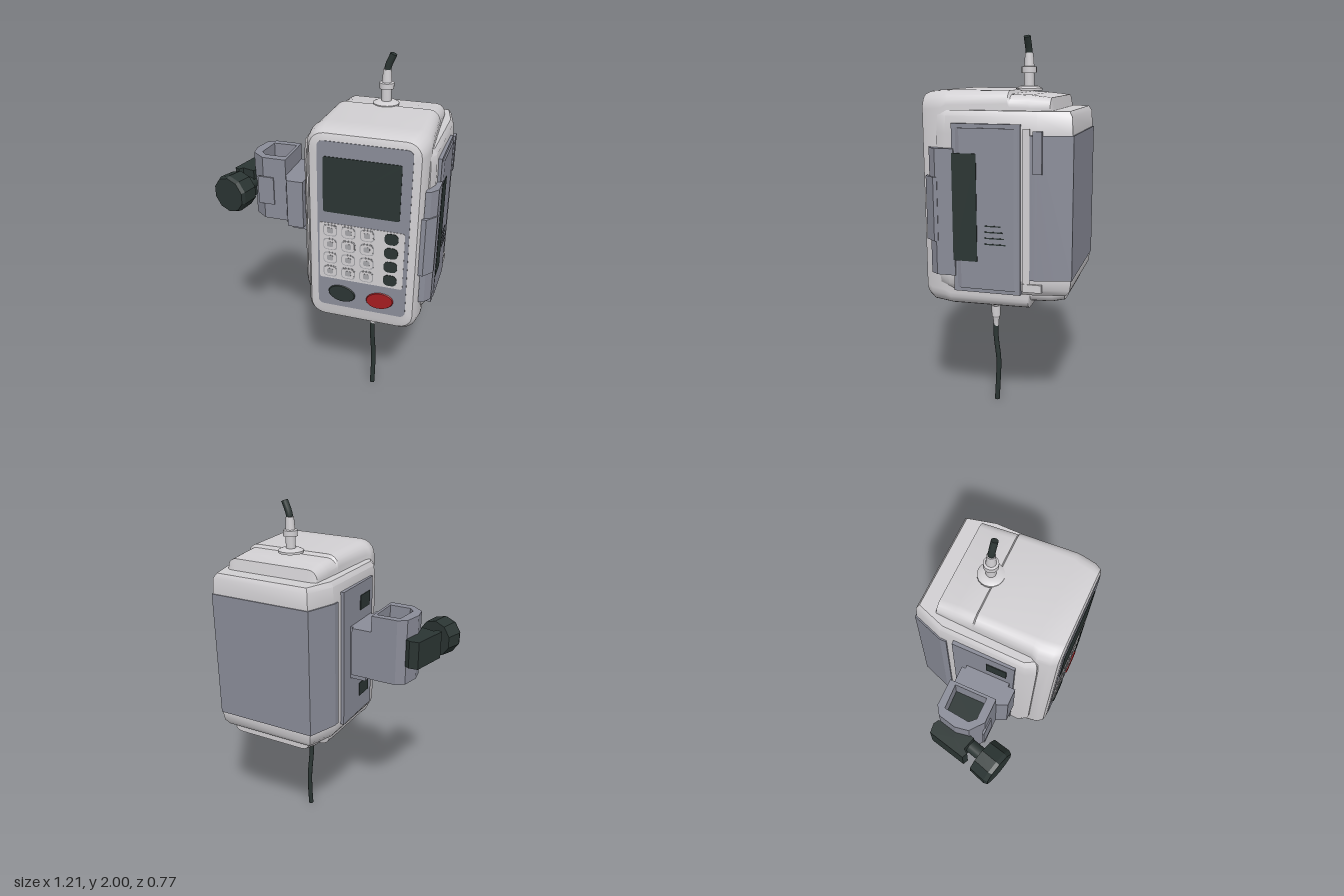
import * as THREE from 'three';
import { toCreasedNormals } from 'three/addons/utils/BufferGeometryUtils.js';

const mat = (name, color) => Object.assign(new THREE.MeshStandardMaterial({ color }), { name });
const V = (x, y, z) => new THREE.Vector3(x, y, z);

export function createModel() {
  const white = mat('case white', 0xd2d0d3);
  const grey = mat('panel grey', 0x8b8d99);
  const dark = mat('dark rubber', 0x2b3533);
  const red = mat('stop red', 0xa51d20);
  const keyGrey = mat('key grey', 0xa5a5a9);
  const model = new THREE.Group();

  const add = (name, geo, material, parent = model) => {
    const m = new THREE.Mesh(geo, material);
    m.name = name;
    parent.add(m);
    return m;
  };

  // Skin through rings, each counter-clockwise seen from the first ring's end
  const loft = (rings, crease = 0.6) => {
    const n = rings[0].length, pos = [], idx = [];
    rings.forEach(r => r.forEach(p => pos.push(p.x, p.y, p.z)));
    for (let i = 0; i < rings.length - 1; i++) {
      for (let j = 0; j < n; j++) {
        const a = i * n + j, d = i * n + (j + 1) % n;
        idx.push(a, a + n, d + n, a, d + n, d);
      }
    }
    [0, rings.length - 1].forEach((ri, end) => {
      const c = pos.length / 3, mid = V(0, 0, 0);
      rings[ri].forEach(p => mid.addScaledVector(p, 1 / n));
      pos.push(mid.x, mid.y, mid.z);
      for (let j = 0; j < n; j++) {
        const a = ri * n + j, b = ri * n + (j + 1) % n;
        if (end) idx.push(c, b, a); else idx.push(c, a, b);
      }
    });
    const g = new THREE.BufferGeometry();
    g.setAttribute('position', new THREE.Float32BufferAttribute(pos, 3));
    g.setIndex(idx);
    return toCreasedNormals(g, crease);
  };

  // Rounded rectangle ring across z
  const rectRing = (z, x0, x1, y0, y1, r) => {
    const pts = [];
    [[x1 - r, y1 - r], [x0 + r, y1 - r], [x0 + r, y0 + r], [x1 - r, y0 + r]].forEach(([cx, cy], q) => {
      for (let k = 0; k <= 5; k++) {
        const a = (q + k / 5) * Math.PI / 2;
        pts.push(V(cx + r * Math.cos(a), cy + r * Math.sin(a), z));
      }
    });
    return pts;
  };

  // Footprint ring across y, shrunk about the body centre
  const footRing = (foot, y, s = 1) => foot.map(([x, z]) => V(0.24 + (x - 0.24) * s, y, -0.05 + (z + 0.05) * s));
  const prism = (foot, y0, y1) => loft([footRing(foot, y1), footRing(foot, y0)], 0.3);

  // Rounded plate facing the front
  const plate = (x, y, w, h, r, z, depth) => {
    const front = rectRing(z + depth, x - w / 2, x + w / 2, y - h / 2, y + h / 2, r);
    return loft([front, front.map(p => V(p.x, p.y, z))]);
  };
  const box = (x0, x1, y0, y1, z0, z1) =>
    new THREE.BoxGeometry(x1 - x0, y1 - y0, z1 - z0).translate((x0 + x1) / 2, (y0 + y1) / 2, (z0 + z1) / 2);

  // Main housing with rounded bezel and stepped top and bottom
  add('mainHousing', loft([
    [0.38, 0.0, 0.505, 0.71, 1.69, 0.06],
    [0.372, -0.025, 0.525, 0.68, 1.715, 0.075],
    [0.34, -0.045, 0.542, 0.655, 1.728, 0.085],
    [0.27, -0.055, 0.552, 0.65, 1.734, 0.085],
    [0.24, -0.04, 0.55, 0.65, 1.734, 0.07],
    [-0.06, -0.03, 0.53, 0.65, 1.732, 0.06],
    [-0.07, -0.03, 0.53, 0.65, 1.715, 0.06],
    [-0.16, -0.025, 0.525, 0.65, 1.712, 0.06],
    [-0.17, -0.025, 0.525, 0.69, 1.71, 0.06],
    [-0.265, -0.02, 0.52, 0.695, 1.70, 0.05],
    [-0.28, -0.015, 0.515, 0.695, 1.63, 0.05],
    [-0.34, 0.0, 0.5, 0.705, 1.62, 0.05],
  ].map(a => rectRing(...a))), white);

  // Wider rear body
  const foot = [[0.555, 0.29], [0.575, 0.24], [0.582, -0.22], [0.545, -0.38],
    [-0.03, -0.38], [-0.088, -0.22], [-0.098, 0.24], [-0.07, 0.29]];
  add('rearBody', loft([[1.64, 0.94], [1.615, 0.985], [1.53, 1], [0.82, 1], [0.775, 0.985], [0.745, 0.92]]
    .map(([y, s]) => footRing(foot, y, s))), white);
  add('rearCover', prism([[0.59, -0.185], [0.59, -0.22], [0.55, -0.386], [-0.036, -0.386],
    [-0.096, -0.22], [-0.096, -0.185]], 0.83, 1.53), grey);

  // Front panel, screen and keypad
  add('frontPanel', plate(0.253, 1.215, 0.47, 0.93, 0.03, 0.376, 0.007), grey);
  add('screen', plate(0.243, 1.455, 0.39, 0.295, 0.012, 0.382, 0.004), dark);
  add('keypad', plate(0.248, 1.083, 0.44, 0.325, 0.012, 0.38, 0.005), white);
  const keys = new THREE.Group();
  keys.name = 'keys';
  model.add(keys);
  for (let row = 0; row < 4; row++) {
    const y = 1.205 - row * 0.08;
    [0.085, 0.181, 0.278].forEach(x => {
      add('keyRim', plate(x, y, 0.074, 0.066, 0.02, 0.383, 0.003), keyGrey, keys);
      add('keyCap', plate(x, y, 0.064, 0.056, 0.018, 0.384, 0.004), white, keys);
      add('keyMark', plate(x, y, 0.032, 0.03, 0.008, 0.386, 0.003), keyGrey, keys);
    });
    add('functionKey', plate(0.402, y, 0.07, 0.062, 0.025, 0.383, 0.005), dark, keys);
  }
  const oval = (name, x, y, tilt, m) => {
    const b = add(name, new THREE.CylinderGeometry(0.046, 0.05, 0.008, 24).rotateX(Math.PI / 2).scale(1.5, 1, 1), m);
    b.position.set(x, y, 0.385);
    b.rotation.z = tilt;
  };
  oval('startButton', 0.147, 0.833, -0.12, dark);
  oval('stopButton', 0.352, 0.828, 0.15, red);

  // Door on the model's left, with window, latch handle, hinge and vents
  add('door', box(0.56, 0.592, 0.75, 1.58, -0.14, 0.2), grey);
  add('doorBevel', prism([[0.592, 0.18], [0.6, 0.16], [0.6, -0.11], [0.59, -0.13], [0.58, 0]], 0.77, 1.56), grey);
  add('doorWindow', box(0.595, 0.604, 0.91, 1.44, 0.075, 0.198), dark);
  add('doorHandle', prism([[0.545, 0.335], [0.572, 0.325], [0.602, 0.285], [0.602, 0.19], [0.55, 0.19]], 0.83, 1.46), grey);
  add('doorLatch', prism([[0.53, 0.35], [0.56, 0.35], [0.605, 0.295], [0.605, 0.275], [0.54, 0.275]], 1.0, 1.32), grey);
  add('hingeStrip', box(0.56, 0.588, 0.79, 1.56, -0.185, -0.15), white);
  add('hingeClip', box(0.56, 0.596, 1.35, 1.55, -0.245, -0.2), grey);
  add('hingeFoot', box(0.56, 0.592, 0.77, 0.81, -0.375 + 0.13, -0.15), white);
  for (let i = 0; i < 4; i++) add('ventSlot', box(0.598, 0.602, 0.998 + i * 0.03, 1.004 + i * 0.03, -0.07 + i * 0.008, 0.035), dark);

  // Panel on the model's right
  add('sidePanel', box(-0.108, -0.08, 0.8, 1.57, -0.145, 0.19), grey);
  add('sideGripTop', box(-0.112, -0.1, 1.42, 1.5, 0.04, 0.15), dark);
  add('sideGripBottom', box(-0.112, -0.1, 0.9, 0.98, 0.04, 0.15), dark);

  // Pole clamp
  const clamp = new THREE.Group();
  clamp.name = 'poleClamp';
  model.add(clamp);
  add('clampBracket', prism([[-0.125, 0.21], [-0.125, -0.09], [-0.25, -0.09], [-0.25, 0.13], [-0.215, 0.21]], 1.09, 1.36), grey, clamp);
  add('clampPlate', box(-0.2, -0.1, 1.06, 1.36, -0.07, 0.17), grey, clamp);
  const outline = pts => pts.map(([x, z]) => new THREE.Vector2(x, -z));
  const ring = new THREE.Shape(outline([[-0.24, 0.155], [-0.24, -0.095], [-0.385, -0.095], [-0.43, -0.065],
    [-0.452, 0.03], [-0.44, 0.1], [-0.37, 0.155]]));
  ring.holes.push(new THREE.Path(outline([[-0.255, 0.11], [-0.37, 0.11], [-0.4, 0.08], [-0.385, -0.055], [-0.255, -0.06]])));
  const jaw = new THREE.ExtrudeGeometry(ring, { depth: 0.36, bevelEnabled: false }).rotateX(-Math.PI / 2);
  add('clampJaw', jaw, grey, clamp).position.y = 1.09;
  add('clampPad', box(-0.392, -0.25, 1.17, 1.35, -0.06, 0.115), dark, clamp);
  add('clampFront', box(-0.4, -0.31, 1.18, 1.34, 0.15, 0.162), grey, clamp);

  // Clamp arm, screw and knob
  add('clampArm', prism([[-0.42, 0.03], [-0.43, -0.075], [-0.455, -0.09], [-0.505, -0.085], [-0.552, 0.115],
    [-0.525, 0.128], [-0.51, 0.105], [-0.44, 0.125]], 1.2, 1.35), dark, clamp);
  const screw = new THREE.Group();
  screw.name = 'clampScrew';
  screw.position.set(-0.498, 1.272, 0.24);
  screw.rotation.y = -0.27;
  clamp.add(screw);
  add('screwShaft', new THREE.CylinderGeometry(0.035, 0.035, 0.2, 16).rotateX(Math.PI / 2), dark, screw).position.z = -0.1;
  const knob = new THREE.CylinderGeometry(0.096, 0.105, 0.02, 10).translate(0, 0.05, 0);
  add('knobFace', toCreasedNormals(knob.rotateX(Math.PI / 2), 0.4), dark, screw);
  add('knob', toCreasedNormals(new THREE.CylinderGeometry(0.105, 0.1, 0.09, 10).rotateX(Math.PI / 2), 0.4), dark, screw).position.z = -0.005;

  // Cable connectors turned from profiles, listed bottom to top
  const turned = (name, pts, x, z) => {
    const g = new THREE.LatheGeometry(pts.map(([r, y]) => new THREE.Vector2(r, y)), 20);
    add(name, toCreasedNormals(g, 0.5), white).position.set(x, 0, z);
  };
  turned('topConnector', [[0, 1.725], [0.068, 1.725], [0.068, 1.737], [0.045, 1.748], [0.026, 1.748], [0.026, 1.81],
    [0.038, 1.812], [0.038, 1.842], [0.026, 1.845], [0.021, 1.91], [0, 1.912]], 0.237, -0.093);
  turned('bottomConnector', [[0, 0.44], [0.014, 0.44], [0.018, 0.49], [0.024, 0.5], [0.026, 0.56], [0.031, 0.565],
    [0.031, 0.64], [0.06, 0.642], [0.06, 0.655], [0, 0.655]], 0.247, 0.091);

  // Cables, closed at the free end
  const cable = (name, pts, r) => {
    const curve = new THREE.CatmullRomCurve3(pts);
    add(name, new THREE.TubeGeometry(curve, 24, r, 12), dark);
    const cap = add(name + 'End', new THREE.CircleGeometry(r, 12), dark);
    cap.position.copy(curve.getPoint(1));
    cap.quaternion.setFromUnitVectors(V(0, 0, 1), curve.getTangent(1));
  };
  cable('topCable', [V(0.237, 1.89, -0.093), V(0.243, 1.93, -0.092), V(0.268, 1.99, -0.09)], 0.018);
  cable('bottomCable', [V(0.247, 0.48, 0.093), V(0.248, 0.38, 0.092), V(0.253, 0.24, 0.076), V(0.256, 0.12, 0.079), V(0.255, 0.001, 0.086)], 0.014);

  return model;
}
